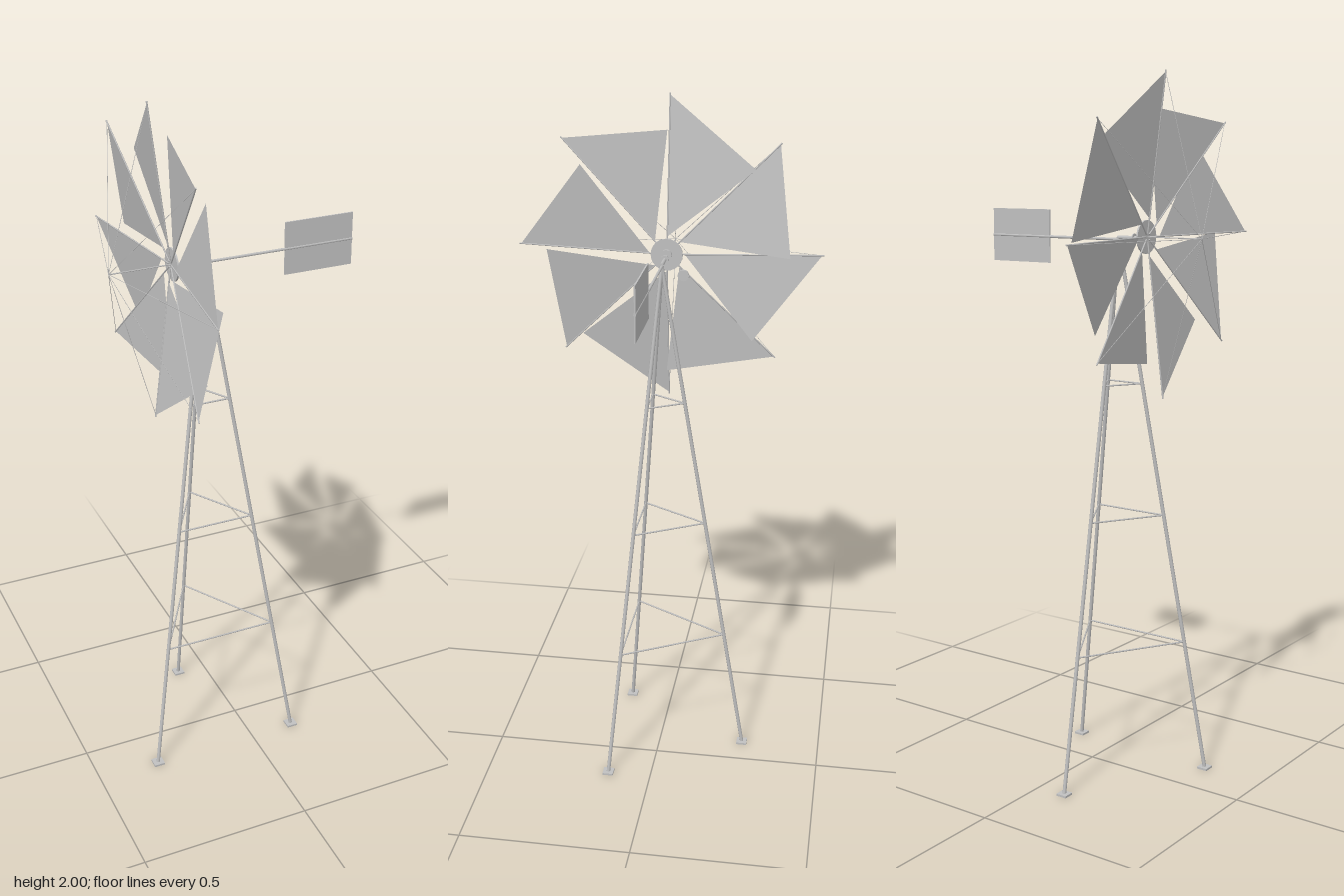
import * as THREE from 'three';

const steel = new THREE.MeshStandardMaterial({ color: 0xc0c0c0 });
steel.name = 'galvanised steel';
const sheet = new THREE.MeshStandardMaterial({ color: 0xc0c0c0, side: THREE.DoubleSide });
sheet.name = 'sheet metal';

const TOWER_X = -0.09, APEX_Y = 1.55, FOOT_R = 0.26;
const HUB_X = -0.187, AXIS_Y = 1.557, NOSE_X = -0.36;
const V = (x, y, z) => new THREE.Vector3(x, y, z);

// Round bar between two points
function rod(name, a, b, r, sides = 8) {
  const dir = b.clone().sub(a);
  const mesh = new THREE.Mesh(new THREE.CylinderGeometry(r, r, dir.length(), sides), steel);
  mesh.position.copy(a).add(b).multiplyScalar(0.5);
  mesh.quaternion.setFromUnitVectors(V(0, 1, 0), dir.normalize());
  mesh.name = name;
  return mesh;
}

function box(name, w, h, d, x, y, z) {
  const mesh = new THREE.Mesh(new THREE.BoxGeometry(w, h, d), steel);
  mesh.position.set(x, y, z);
  mesh.name = name;
  return mesh;
}

// Disc facing along x
const disc = (name, x, y, z, r, t) => rod(name, V(x - t / 2, y, z), V(x + t / 2, y, z), r, 24);

// Point on one of the three legs at height y
function legPoint(i, y) {
  const a = (i * Math.PI * 2) / 3, r = FOOT_R * (1 - y / APEX_Y);
  return V(TOWER_X + r * Math.sin(a), y, -r * Math.cos(a));
}

// Point on the rotor, angle measured from the top towards -z
const rotorPoint = (x, r, a) => V(x, AXIS_Y + r * Math.cos(a), -r * Math.sin(a));

function createTower() {
  const tower = new THREE.Group();
  tower.name = 'tower';
  for (let i = 0; i < 3; i++) {
    const foot = legPoint(i, 0.004);
    tower.add(rod('leg', foot, legPoint(i, APEX_Y), 0.0055));
    tower.add(box('footPlate', 0.032, 0.006, 0.032, foot.x, 0.003, foot.z));
    for (const y of [0.388, 0.765, 1.145])
      tower.add(rod('crossBrace', legPoint(i, y), legPoint((i + 1) % 3, y), 0.0024, 6));
  }
  return tower;
}

function createRotor() {
  const rotor = new THREE.Group();
  rotor.name = 'rotor';
  rotor.add(disc('hubPlate', -0.182, AXIS_Y, 0, 0.046, 0.005));
  rotor.add(disc('hubBoss', -0.178, AXIS_Y, 0, 0.016, 0.012));
  rotor.add(rod('nosePole', V(NOSE_X, AXIS_Y, 0), V(HUB_X, AXIS_Y, 0), 0.0018, 6));
  for (let i = 0; i < 8; i++) {
    const a = (i * Math.PI) / 4;
    const root = rotorPoint(HUB_X - 0.005, 0.05, a);
    const tip = rotorPoint(-0.24, 0.437, a);
    const corner = rotorPoint(-0.188, 0.35, a + Math.PI / 4);
    // Twisted triangular sail
    const geo = new THREE.BufferGeometry().setFromPoints([root, tip, corner]);
    geo.computeVertexNormals();
    const sail = new THREE.Mesh(geo, sheet);
    sail.name = 'sail';
    rotor.add(sail);
    rotor.add(rod('spar', rotorPoint(HUB_X, 0.01, a), rotorPoint(-0.2407, 0.442, a), 0.0022, 6));
    rotor.add(rod('stayWire', V(NOSE_X, AXIS_Y, 0), tip, 0.0008, 4));
  }
  return rotor;
}

function createHead() {
  const head = new THREE.Group();
  head.name = 'head';
  // Drive shaft with its small wheels
  head.add(rod('driveShaft', V(-0.182, 1.553, 0), V(TOWER_X + 0.003, 1.553, 0), 0.0055));
  head.add(disc('shaftCollar', -0.142, 1.553, 0, 0.012, 0.003));
  head.add(disc('smallPulley', -0.132, 1.513, -0.055, 0.016, 0.007));
  // Tail boom and vane
  head.add(rod('tailBoom', V(TOWER_X, 1.548, 0), V(0.358, 1.548, 0), 0.004));
  head.add(box('tailVane', 0.207, 0.152, 0.004, 0.253, 1.549, 0));
  return head;
}

export function createModel() {
  const model = new THREE.Group();
  model.name = 'windmill';
  model.add(createTower(), createRotor(), createHead());
  return model;
}
